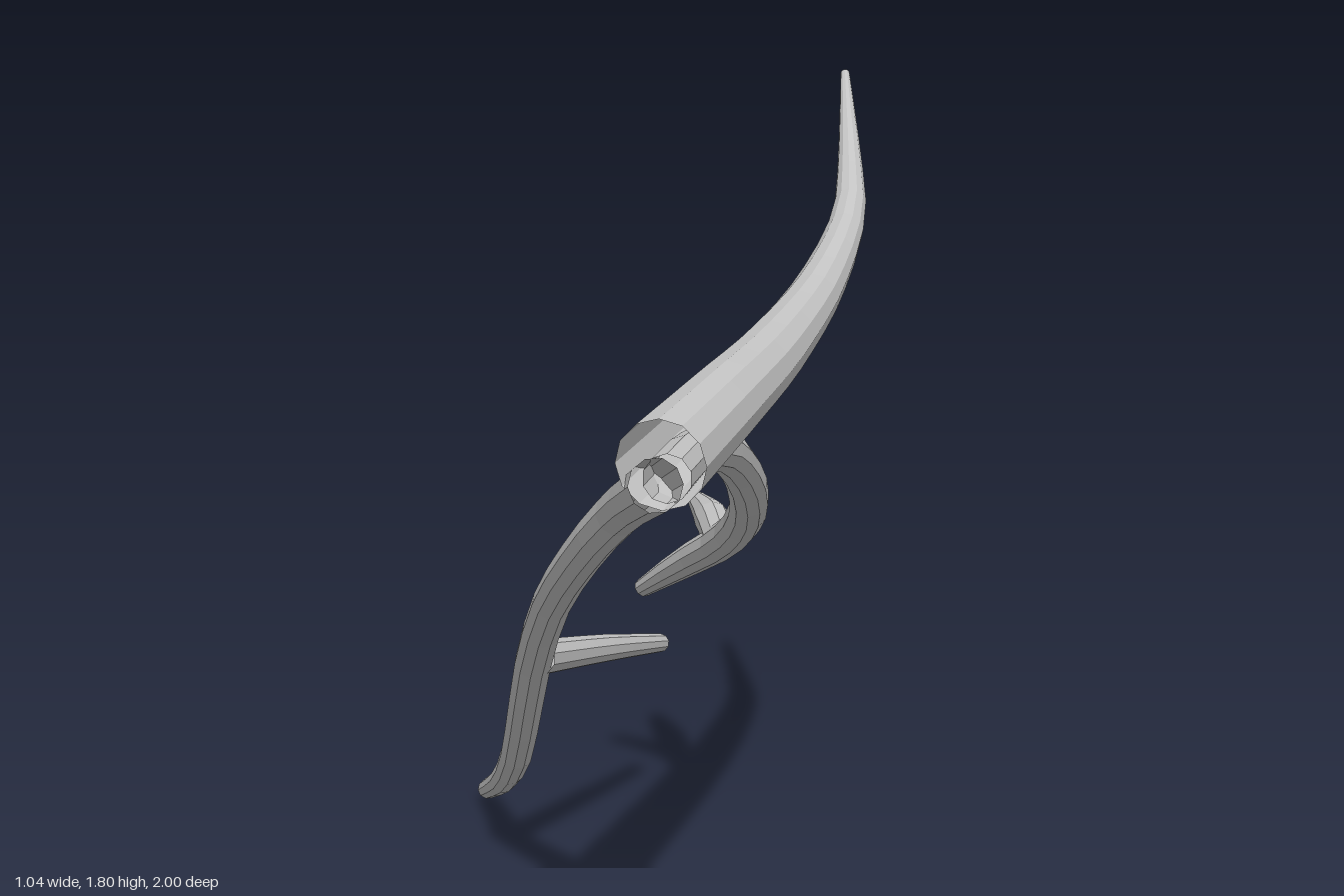
import * as THREE from 'three';

const bark = new THREE.MeshStandardMaterial({ color: 0xc2c2c2, flatShading: true, side: THREE.DoubleSide });
bark.name = 'pale grey';

// Open tapered tube; each control point is [x, y, z, radius]
function limb(name, points, sides = 10, steps = 16) {
  const curve = new THREE.CatmullRomCurve3(points.map(p => new THREE.Vector3(p[0], p[1], p[2])), false, 'centripetal');
  const geometry = new THREE.TubeGeometry(curve, steps, 1, sides, false);
  const position = geometry.attributes.position;
  const v = new THREE.Vector3();
  for (let i = 0; i <= steps; i++) {
    const centre = curve.getPointAt(i / steps);
    const t = curve.getUtoTmapping(i / steps) * (points.length - 1);
    const k = Math.min(Math.floor(t), points.length - 2);
    const radius = THREE.MathUtils.lerp(points[k][3], points[k + 1][3], t - k);
    for (let j = 0; j <= sides; j++) {
      const n = i * (sides + 1) + j;
      v.fromBufferAttribute(position, n).sub(centre).multiplyScalar(radius).add(centre);
      position.setXYZ(n, v.x, v.y, v.z);
    }
  }
  geometry.computeVertexNormals();
  const mesh = new THREE.Mesh(geometry, bark);
  mesh.name = name;
  return mesh;
}

export function createModel() {
  const model = new THREE.Group();
  model.name = 'branch';
  model.add(
    // Thick main stem, sweeping up to a thin tip
    limb('mainStem', [
      [-0.435, 1.16, 0.95, 0.094], [-0.22, 1.21, 0.58, 0.085], [0, 1.265, 0.2, 0.073],
      [0.23, 1.365, -0.2, 0.056], [0.385, 1.495, -0.5, 0.04], [0.445, 1.62, -0.7, 0.028],
      [0.505, 1.8, -0.94, 0.011],
    ], 12, 18),
    // Low branch, drooping to the ground
    limb('lowBranch', [
      [-0.445, 1.12, 0.95, 0.056], [-0.43, 1.01, 0.6, 0.051], [-0.455, 0.9, 0.4, 0.047],
      [-0.478, 0.71, 0.1, 0.044], [-0.48, 0.53, -0.1, 0.043], [-0.472, 0.37, -0.25, 0.041],
      [-0.463, 0.235, -0.4, 0.038], [-0.452, 0.13, -0.6, 0.033], [-0.44, 0.03, -0.88, 0.025],
    ]),
    limb('lowTwig', [
      [-0.47, 0.545, -0.09, 0.042], [-0.25, 0.485, -0.4, 0.034], [-0.03, 0.415, -0.725, 0.023],
    ], 10, 6),
    // Middle branch, arching inwards and forking at its end
    limb('middleBranch', [
      [-0.42, 1.13, 0.94, 0.05], [-0.28, 1.12, 0.6, 0.05], [-0.19, 1.1, 0.42, 0.049],
      [-0.09, 1.035, 0.2, 0.047], [-0.005, 0.945, 0, 0.047], [0.055, 0.85, -0.2, 0.046],
      [0.087, 0.765, -0.4, 0.046], [0.09, 0.685, -0.6, 0.045], [0.045, 0.6, -0.79, 0.04],
      [-0.015, 0.505, -0.97, 0.024],
    ]),
    limb('middleTwig', [
      [0.09, 0.69, -0.59, 0.043], [0.122, 0.708, -0.8, 0.045], [0.135, 0.718, -1, 0.024],
    ], 10, 6),
  );
  return model;
}
